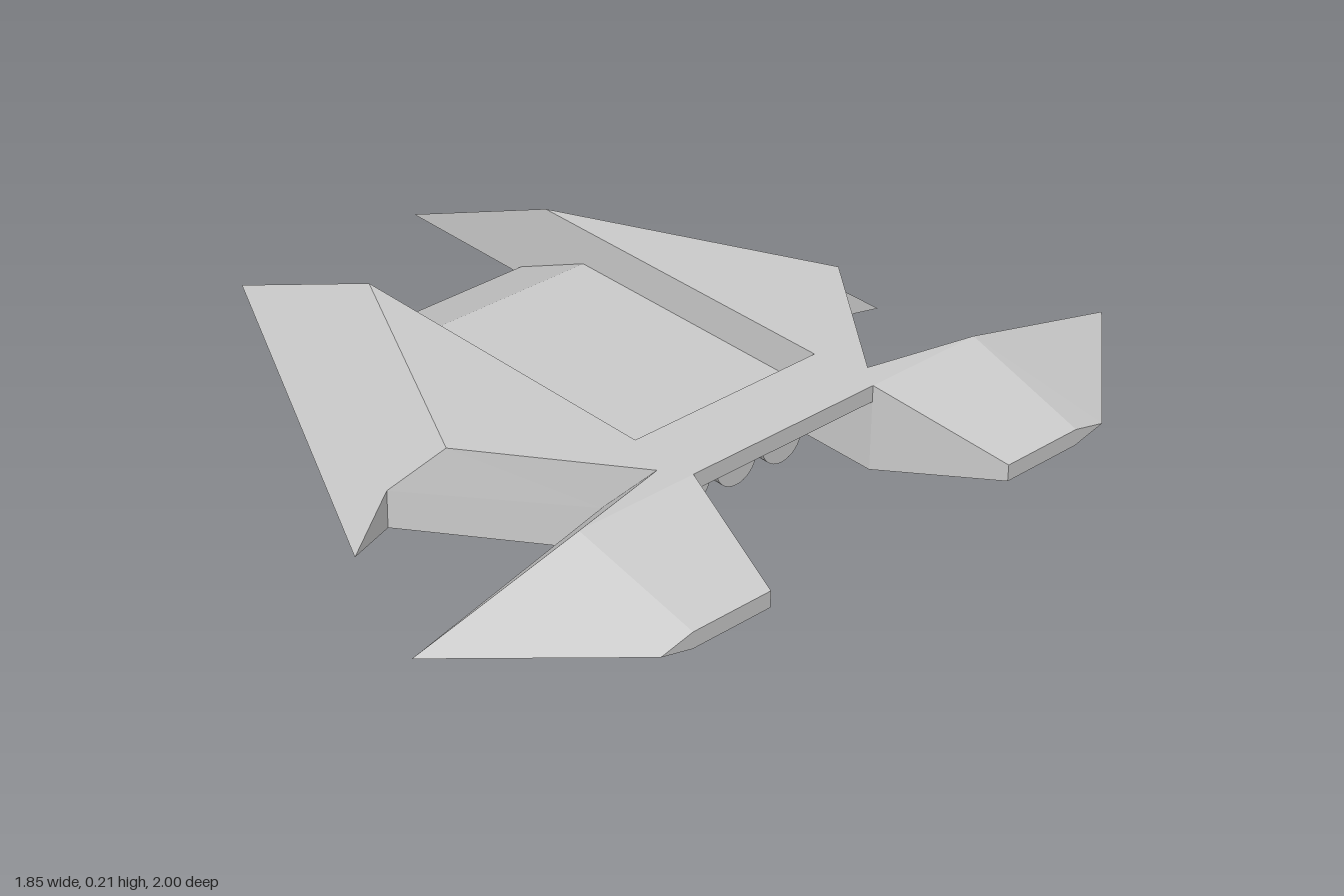
import * as THREE from 'three';

const material = new THREE.MeshStandardMaterial({ color: 0xcccccc, flatShading: true });
const smooth = new THREE.MeshStandardMaterial({ color: 0xcccccc });

// Corners of the left half (+z side); the other half is mirrored
const P = {
  nose: [-0.925, 0, 0.26], crest: [-0.44, 0.21, 0.26], shoulder: [0.2, 0.21, 0.57],
  tip: [0.14, 0, 0.77], notchLow: [0.1, 0, 0.65], notchTop: [0.1, 0.092, 0.65],
  rootTop: [0.55, 0.21, 0.305], rootLow: [0.55, 0, 0.305], rootEdge: [0.46, 0.105, 0.375],
  ridgeTop: [0.61, 0.21, 0.57], ridgeLow: [0.61, 0, 0.57], finTip: [0.61, 0.105, 1],
  rearTop: [0.61, 0.21, 0.26], rearLow: [0.61, 0, 0.26],
  endInTop: [0.925, 0.125, 0.345], endInLow: [0.925, 0.085, 0.345],
  endOutTop: [0.925, 0.125, 0.555], endOutLow: [0.925, 0.085, 0.555], endTip: [0.925, 0.105, 0.64],
};

const wingFaces = [
  'crest shoulder rootTop rearTop',                           // top
  'nose tip notchTop shoulder crest',                         // sloped flank
  'tip notchLow notchTop',                                    // notch
  'rootEdge rootTop shoulder notchTop notchLow rootLow',      // rear flank wall
  'nose crest rearTop rearLow',                               // inner wall
  'nose notchLow tip', 'nose rearLow rootLow notchLow',       // underside
];

const finFaces = [
  'rootTop ridgeTop rearTop', 'rootLow rearLow ridgeLow',     // root
  'rootEdge finTip ridgeTop rootTop', 'rootEdge rootLow ridgeLow finTip', // leading bevels
  'rearTop ridgeTop endOutTop endInTop', 'rearLow endInLow endOutLow ridgeLow',
  'ridgeTop finTip endTip endOutTop', 'ridgeLow endOutLow endTip finTip', // outer bevels
  'endInTop endOutTop endTip endOutLow endInLow',             // blunt end
  'rearTop endInTop endInLow rearLow',                        // inner side
];

// Fan each named face into triangles; side = -1 mirrors across z and flips the winding
function facesGeometry(faces, side) {
  const pos = [];
  for (const face of faces) {
    const c = face.split(' ').map((n) => [P[n][0], P[n][1], P[n][2] * side]);
    if (side < 0) c.reverse();
    // keep the same fan corner after reversing
    if (side < 0) c.unshift(c.pop());
    for (let i = 1; i < c.length - 1; i++) pos.push(...c[0], ...c[i], ...c[i + 1]);
  }
  const g = new THREE.BufferGeometry();
  g.setAttribute('position', new THREE.Float32BufferAttribute(pos, 3));
  g.computeVertexNormals();
  return g;
}

// Side profile (x, y) swept across the gap between the wings
function crossPiece(points) {
  const shape = new THREE.Shape(points.map(([x, y]) => new THREE.Vector2(x, y)));
  return new THREE.ExtrudeGeometry(shape, { depth: 0.52, bevelEnabled: false }).translate(0, 0, -0.26);
}

export function createModel() {
  const model = new THREE.Group();
  model.name = 'spacecraft';
  const add = (name, geometry, mat = material) => {
    const mesh = new THREE.Mesh(geometry, mat);
    mesh.name = name;
    model.add(mesh);
    return mesh;
  };

  for (const [label, side] of [['Left', 1], ['Right', -1]]) {
    add('wing' + label, facesGeometry(wingFaces, side));
    add('tailFin' + label, facesGeometry(finFaces, side));
  }

  // Sunken deck with a wedge front, and the bridge joining the wings at the rear
  add('centreDeck', crossPiece([[-0.53, 0.02], [0.37, 0.02], [0.37, 0.12], [-0.31, 0.12]]));
  add('rearBridge', crossPiece([[0.4, 0.17], [0.61, 0.17], [0.61, 0.21], [0.435, 0.21]]));

  // Three engines behind the deck
  for (const i of [-1, 0, 1]) {
    const engine = add('engine', new THREE.CylinderGeometry(0.058, 0.058, 0.11, 32), smooth);
    engine.rotation.z = Math.PI / 2;
    engine.position.set(0.415, 0.063, i * 0.134);
  }
  return model;
}
